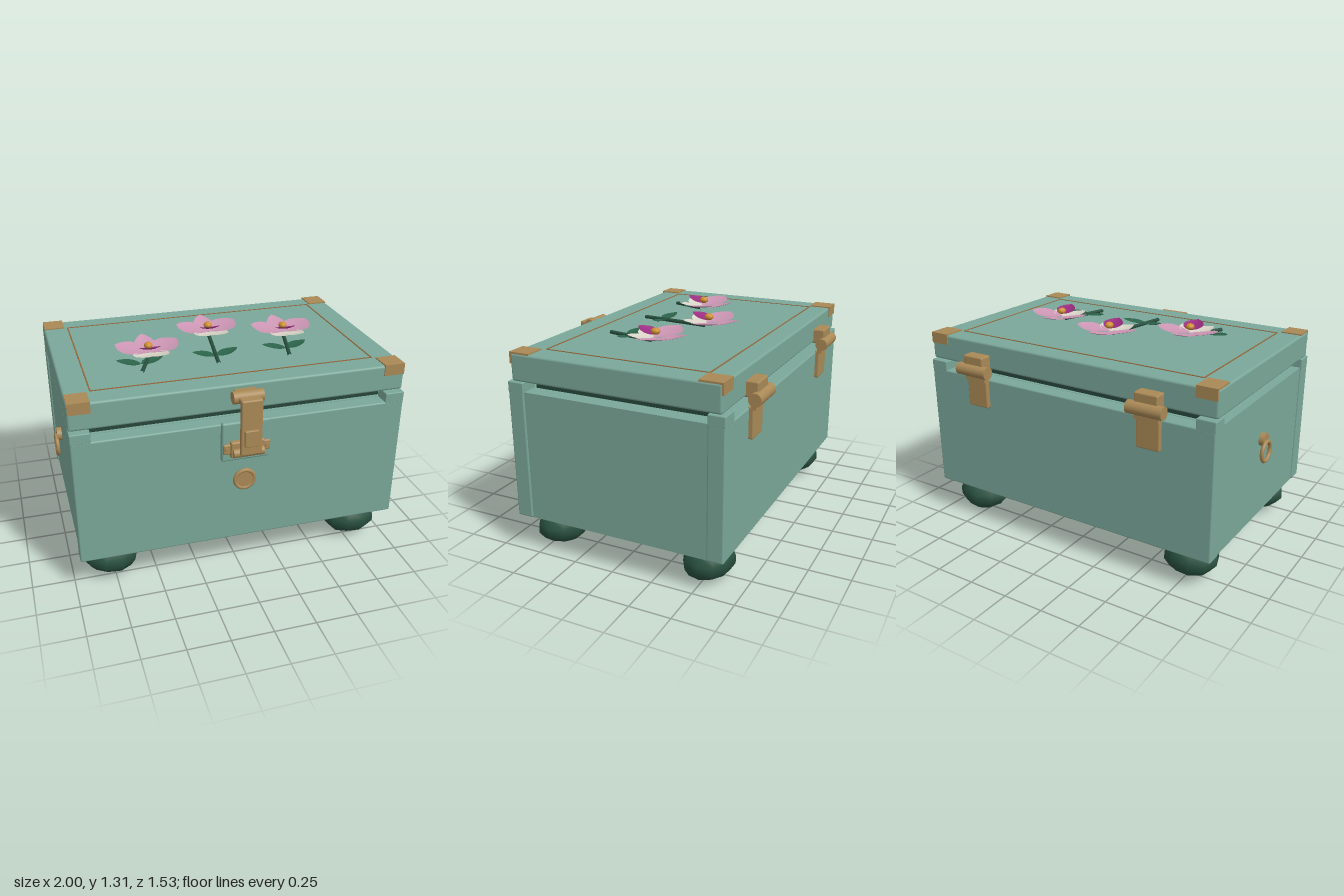
import * as THREE from 'three';
import { RoundedBoxGeometry } from 'three/addons/geometries/RoundedBoxGeometry.js';

const material = (name, color, side = THREE.FrontSide) => {
  const m = new THREE.MeshStandardMaterial({ color, side });
  m.name = name;
  return m;
};

export function createModel() {
  const teal = material('teal paint', 0x7aa799);
  const brass = material('brass', 0xa98956);
  const darkGreen = material('dark green', 0x28503f);
  const lining = material('lining green', 0x27463a);
  const inlayBrown = material('inlay brown', 0x94663a);
  const pink = material('petal pink', 0xcc96b4, THREE.DoubleSide);
  const cream = material('petal cream', 0xdad5c8, THREE.DoubleSide);
  const magenta = material('lip magenta', 0x9a2c80, THREE.DoubleSide);
  const gold = material('column gold', 0xcf8f30);
  const leafGreen = material('leaf green', 0x2c634a, THREE.DoubleSide);

  const root = new THREE.Group();
  root.name = 'chest';

  const group = (name, parent = root) => {
    const g = new THREE.Group();
    g.name = name;
    parent.add(g);
    return g;
  };
  const add = (name, geometry, mat, parent = root, position = [0, 0, 0]) => {
    const mesh = new THREE.Mesh(geometry, mat);
    mesh.name = name;
    mesh.position.set(...position);
    parent.add(mesh);
    return mesh;
  };
  // Box given by its extents; r > 0 rounds the edges
  const box = (name, [x0, x1], [y0, y1], [z0, z1], mat, parent, r = 0) => {
    const s = [x1 - x0, y1 - y0, z1 - z0];
    const g = r ? new RoundedBoxGeometry(...s, 2, r) : new THREE.BoxGeometry(...s);
    return add(name, g, mat, parent, [(x0 + x1) / 2, (y0 + y1) / 2, (z0 + z1) / 2]);
  };
  // Cylinder lying along x or z
  const rod = (name, axis, r, length, position, mat, parent) => {
    const g = new THREE.CylinderGeometry(r, r, length, 24);
    if (axis === 'x') g.rotateZ(Math.PI / 2);
    else g.rotateX(Math.PI / 2);
    return add(name, g, mat, parent, position);
  };

  const X0 = -0.965, X1 = 0.997, CX = 0.016;

  // Body: front and back boards, side boards, base and dark inner rim
  const body = group('body');
  box('frontBoard', [X0, X1], [0.22, 0.995], [0.535, 0.635], teal, body, 0.01);
  box('backBoard', [X0, X1], [0.22, 0.995], [-0.68, -0.58], teal, body, 0.01);
  box('sideBoards', [X0 + 0.01, X1 - 0.01], [0.22, 0.995], [-0.585, 0.54], teal, body);
  box('base', [-0.885, 0.912], [0.19, 0.225], [-0.58, 0.535], teal, body);
  box('innerRim', [-0.86, 0.89], [0.98, 1.06], [-0.565, 0.52], lining, body);
  for (const [x0, x1] of [[X0, -0.85], [0.88, X1]])
    for (const [z0, z1] of [[0.535, 0.635], [-0.68, -0.58]])
      box('cornerPostTop', [x0, x1], [0.985, 1.05], [z0, z1], teal, body, 0.006);

  // Lid with inlaid frame and brass corners
  const lid = group('lid');
  box('lidBoard', [X0, X1], [1.055, 1.215], [-0.66, 0.605], teal, lid, 0.014);
  const frame = group('inlayFrame', lid);
  for (const z of [-0.53, 0.465])
    box('inlayLong', [-0.815, 0.85], [1.212, 1.218], [z - 0.004, z + 0.004], inlayBrown, frame);
  for (const x of [-0.815, 0.85])
    box('inlayShort', [x - 0.004, x + 0.004], [1.212, 1.218], [-0.53, 0.465], inlayBrown, frame);
  for (const [x0, x1] of [[-0.96, -0.836], [0.869, 0.993]])
    for (const front of [true, false]) {
      const corner = group('lidCorner', lid);
      box('cornerTop', [x0, x1], [1.206, 1.222], front ? [0.485, 0.612] : [-0.666, -0.53], brass, corner);
      box('cornerFace', [x0, x1], [1.155, 1.21], front ? [0.6, 0.612] : [-0.666, -0.654], brass, corner);
    }

  // Latch: pivot on the lid, hanging strap and catch
  const latch = group('latch');
  box('latchPlate', [-0.13, 0.16], [0.767, 1.01], [0.625, 0.662], teal, latch, 0.012);
  box('pivotMount', [-0.05, 0.08], [1.13, 1.19], [0.6, 0.66], brass, latch, 0.008);
  rod('pivotBarrel', 'x', 0.036, 0.175, [0.015, 1.165, 0.662], brass, latch);
  box('strapArm', [-0.047, 0.078], [1.145, 1.178], [0.655, 0.75], brass, latch, 0.01);
  box('strap', [-0.047, 0.078], [0.84, 1.178], [0.72, 0.75], brass, latch, 0.01);
  box('strapTab', [-0.028, 0.053], [0.9, 1], [0.745, 0.765], brass, latch, 0.005);
  box('catch', [-0.085, 0.115], [0.8, 0.9], [0.655, 0.692], brass, latch, 0.01);
  box('catchEars', [-0.125, 0.155], [0.818, 0.882], [0.655, 0.676], brass, latch, 0.01);
  rod('catchBar', 'x', 0.026, 0.18, [0.015, 0.835, 0.695], brass, latch);
  for (const x of [-0.103, 0.133]) rod('screw', 'z', 0.014, 0.02, [x, 0.85, 0.674], brass, latch);

  // Round keyhole cover
  const knob = group('frontKnob');
  rod('knobDisc', 'z', 0.06, 0.03, [0.013, 0.628, 0.64], brass, knob);
  add('knobRim', new THREE.TorusGeometry(0.058, 0.012, 10, 32), brass, knob, [0.013, 0.628, 0.648]);

  // Hinges on the back
  for (const x of [-0.58, 0.61]) {
    const hinge = group('hinge');
    box('hingeBlock', [x - 0.073, x + 0.073], [1.05, 1.143], [-0.73, -0.645], brass, hinge, 0.01);
    rod('hingeBarrel', 'x', 0.038, 0.22, [x, 1.053, -0.724], brass, hinge);
    box('hingeNeck', [x - 0.073, x + 0.073], [0.985, 1.05], [-0.718, -0.69], brass, hinge);
    box('hingeLeaf', [x - 0.073, x + 0.073], [0.818, 1.0], [-0.706, -0.672], brass, hinge, 0.008);
  }

  // Pull ring on the right side
  const pull = group('pullRing');
  const boss = rod('pullBoss', 'x', 0.04, 0.035, [-0.967, 0.72, -0.032], brass, pull);
  boss.scale.z = 1.05;
  const ring = new THREE.TorusGeometry(0.06, 0.012, 10, 32);
  ring.rotateY(Math.PI / 2);
  add('ring', ring, brass, pull, [-0.988, 0.648, -0.032]);

  // Lumpy feet
  for (const [x, z, bottom, seed] of [[-0.765, 0.455, 0.02, 0], [0.797, 0.455, 0.005, 2],
    [-0.765, -0.508, 0.02, 4], [0.797, -0.508, 0.005, 6]]) {
    const g = new THREE.SphereGeometry(1, 10, 7);
    const p = g.attributes.position;
    for (let i = 0; i < p.count; i++) {
      const [a, b, c] = [p.getX(i), p.getY(i), p.getZ(i)];
      const k = 1 + 0.05 * Math.sin(4 * a + seed) * Math.cos(3 * c + 2 * b + seed);
      p.setXYZ(i, a * k * 0.168, b * k * 0.11, c * k * 0.147);
    }
    g.computeVertexNormals();
    add('foot', g, darkGreen, root, [x, bottom + 0.11, z]);
  }

  // Petal or leaf: bent strip pointing away from its base, turned by an angle
  const petal = (length, width, fullness, rise, cup, angle) => {
    const g = new THREE.PlaneGeometry(1, 1, 6, 12);
    const p = g.attributes.position;
    for (let i = 0; i < p.count; i++) {
      const u = p.getX(i) * 2, t = p.getY(i) + 0.5;
      const w = width / 2 * Math.pow(Math.max(0, Math.sin(Math.PI * Math.pow(t, fullness))), 0.75);
      p.setXYZ(i, u * w, rise * t * t + cup * u * u * Math.sin(Math.PI * t), -t * length);
    }
    g.rotateY(angle);
    g.computeVertexNormals();
    return g;
  };

  // Orchids with stems and paired leaves
  const orchid = (x, z, leafX) => {
    const flower = group('orchid');
    flower.position.set(x, 1.218, z);
    add('topPetal', petal(0.2, 0.13, 0.9, 0.045, 0.008, 0), pink, flower, [0, 0.022, 0]);
    for (const s of [-1, 1]) {
      add('sidePetal', petal(0.205, 0.19, 1.25, 0.04, 0.01, s * 1.16), pink, flower, [0, 0.028, 0.015]);
      add('lowerPetal', petal(0.155, 0.115, 1.1, 0.03, 0.008, s * 2.5), cream, flower, [0, 0.024, 0.01]);
    }
    add('lip', petal(0.12, 0.13, 0.85, 0.04, 0.014, Math.PI), magenta, flower, [0, 0.05, -0.012]);
    const column = add('column', new THREE.SphereGeometry(0.025, 16, 10), gold, flower, [0, 0.068, 0]);
    column.scale.set(1, 0.8, 1.15);
    const end = new THREE.Vector3(leafX - 0.022, 0.006, 0.325 - z);
    const path = new THREE.LineCurve3(new THREE.Vector3(0, 0.012, 0.02), end);
    add('stem', new THREE.TubeGeometry(path, 1, 0.012, 8), darkGreen, flower);
    for (const s of [-1, 1])
      add('leaf', petal(0.145, 0.085, 0.85, 0.02, 0.006, s * 1.3), leafGreen, flower,
        [leafX, 0.008, 0.2 - z]);
  };
  orchid(-0.41, 0.08, -0.07);
  orchid(0.02, -0.15, -0.045);
  orchid(0.472, -0.02, -0.06);

  return root;
}
